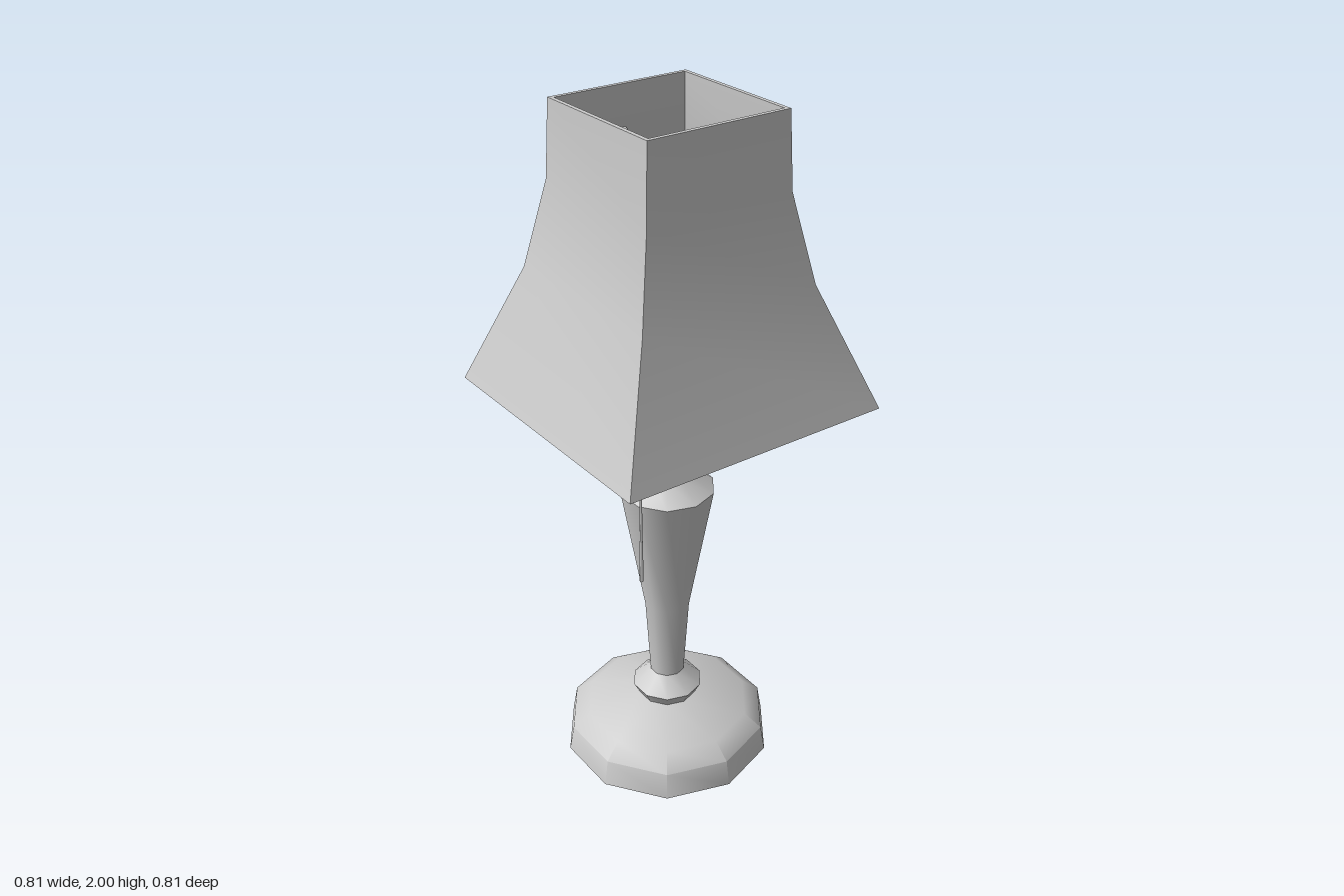
import * as THREE from 'three';
import { toCreasedNormals } from 'three/addons/utils/BufferGeometryUtils.js';

const material = new THREE.MeshStandardMaterial({ color: 0xcccccc });

function addMesh(parent, name, geometry) {
  const mesh = new THREE.Mesh(geometry, material);
  mesh.name = name;
  parent.add(mesh);
  return mesh;
}

// Turned part: [radius, height] profile, listed from bottom to top
function turned(profile, sides, start, crease) {
  const points = profile.map(([r, y]) => new THREE.Vector2(r, y));
  return toCreasedNormals(new THREE.LatheGeometry(points, sides, start), crease);
}

export function createModel() {
  const lamp = new THREE.Group();
  lamp.name = 'tableLamp';
  const body = new THREE.Group();
  body.name = 'lampBody';
  body.position.x = -0.003;
  lamp.add(body);

  // Ten-sided turned body, with corners on the x axis
  const parts = {
    base: [[0, 0], [0.317, 0], [0.303, 0.08], [0.25, 0.122], [0.085, 0.165]],
    bead: [[0.085, 0.16], [0.106, 0.2], [0.052, 0.25]],
    column: [[0.052, 0.245], [0.068, 0.5], [0.138, 0.9], [0.07, 0.95]],
    neck: [[0.069, 0.94], [0.069, 1.15]],
    socket: [[0.066, 1.14], [0.081, 1.14], [0.086, 1.155], [0.086, 1.19], [0.081, 1.2], [0.081, 1.3]],
    bulb: [[0.081, 1.29], [0.13, 1.39], [0.136, 1.45], [0.125, 1.58], [0.085, 1.7]],
    bulbCap: [[0.08, 1.69], [0.08, 1.75], [0.062, 1.78], [0, 1.78]],
  };
  for (const [name, profile] of Object.entries(parts)) {
    addMesh(body, name, turned(profile, 10, Math.PI / 2, 0.75));
  }

  // Square flared shade with a thin wall; radii below are half widths
  const outer = [[0.405, 1.2], [0.272, 1.545], [0.222, 1.79], [0.213, 2]];
  const inner = outer.map(([w, y]) => [w - 0.012, y]).reverse();
  const wall = [...outer, ...inner, outer[0]].map(([w, y]) => [w * Math.SQRT2, y]);
  addMesh(lamp, 'shade', turned(wall, 4, Math.PI / 4, 0.6));

  // Four arms rising outward from the bulb cap to the shade
  const from = new THREE.Vector2(0.05, 1.775);
  const to = new THREE.Vector2(0.21, 1.88);
  const arms = new THREE.Group();
  arms.name = 'shadeArms';
  lamp.add(arms);
  for (let i = 0; i < 4; i++) {
    const pivot = new THREE.Group();
    pivot.name = 'shadeArm' + (i + 1);
    pivot.rotation.y = i * Math.PI / 2;
    const arm = addMesh(pivot, 'armBar', new THREE.BoxGeometry(from.distanceTo(to), 0.015, 0.03));
    arm.position.set((from.x + to.x) / 2, (from.y + to.y) / 2, 0);
    arm.rotation.z = Math.atan2(to.y - from.y, to.x - from.x);
    arms.add(pivot);
  }

  // End of the rear arm showing through the shade
  const tab = addMesh(lamp, 'rearArmTab', new THREE.BoxGeometry(0.028, 0.015, 0.03));
  tab.position.set(-0.002, 1.88, -0.211);

  // Pull cord with a slightly thicker end
  const cord = addMesh(lamp, 'pullCord', new THREE.CylinderGeometry(0.004, 0.004, 0.7, 6));
  cord.position.set(0.162, 1.2, 0.206);
  const end = addMesh(lamp, 'pullCordEnd', new THREE.CylinderGeometry(0.005, 0.006, 0.13, 6));
  end.position.set(0.162, 0.815, 0.206);

  return lamp;
}
